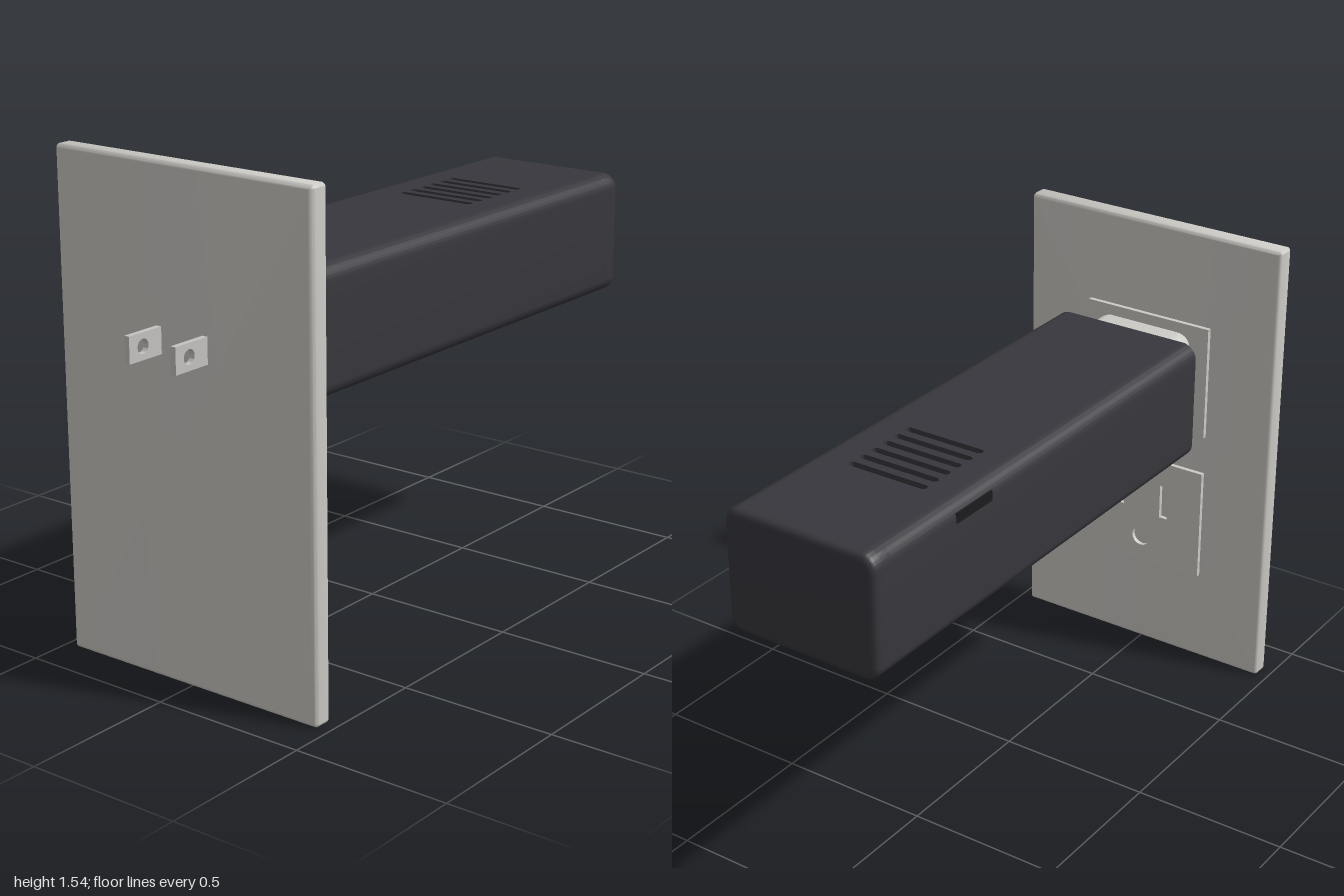
import * as THREE from 'three';
import { toCreasedNormals } from 'three/addons/utils/BufferGeometryUtils.js';

const mat = (name, color) => {
  const m = new THREE.MeshStandardMaterial({ color });
  m.name = name;
  return m;
};

// Rectangle with rounded corners, centred on (0, cy)
function roundedRect(w, h, r, cy) {
  const s = new THREE.Shape(), a = w / 2 - r, b = h / 2 - r, q = Math.PI / 2;
  s.absarc(a, cy + b, r, 0, q);
  s.absarc(-a, cy + b, r, q, 2 * q);
  s.absarc(-a, cy - b, r, 2 * q, 3 * q);
  s.absarc(a, cy - b, r, 3 * q, 4 * q);
  s.closePath();
  return s;
}

function rectHole(x0, x1, y0, y1) {
  return new THREE.Path([[x0, y0], [x0, y1], [x1, y1], [x1, y0]].map(p => new THREE.Vector2(...p)));
}

// Extrudes a (-z, y) outline along x from x0 to x1, with optional rounded ends
function extrudeX(shape, x0, x1, bevel = 0) {
  const g = new THREE.ExtrudeGeometry(shape, {
    depth: x1 - x0 - 2 * bevel, curveSegments: 8, bevelEnabled: bevel > 0,
    bevelThickness: bevel, bevelSize: bevel, bevelOffset: -bevel, bevelSegments: 4,
  });
  g.translate(0, 0, x0 + bevel).rotateY(Math.PI / 2);
  return toCreasedNormals(g, 0.6);
}

export function createModel() {
  const model = new THREE.Group();
  model.name = 'wallAdapter';
  const ivory = mat('ivory', 0xcccac5);
  const charcoal = mat('charcoal', 0x37373d);
  const metal = mat('metal', 0xc4c3c0);
  const black = mat('black', 0x1c1c1f);
  const add = (name, geometry, material, parent = model) => {
    const m = new THREE.Mesh(geometry, material);
    m.name = name;
    parent.add(m);
    return m;
  };
  const box = (name, material, x0, x1, y0, y1, z0, z1, parent) => {
    const m = add(name, new THREE.BoxGeometry(x1 - x0, y1 - y0, z1 - z0), material, parent);
    m.position.set((x0 + x1) / 2, (y0 + y1) / 2, (z0 + z1) / 2);
  };

  // Wall plate
  add('wallPlate', extrudeX(roundedRect(0.93, 1.54, 0.012, 0.77), -0.87, -0.805, 0.015), ivory);

  // Two raised sockets with slots and a ground hole
  for (const [name, y] of [['lowerSocket', 0.32], ['upperSocket', 0.84]]) {
    const s = new THREE.Shape([[-0.227, 0], [0.227, 0], [0.227, 0.387], [-0.227, 0.387]]
      .map(([u, v]) => new THREE.Vector2(u, y + v)));
    s.holes.push(rectHole(-0.1, -0.07, y + 0.192, y + 0.287));
    s.holes.push(rectHole(0.07, 0.1, y + 0.18, y + 0.3));
    s.holes.push(new THREE.Path().absarc(0, y + 0.086, 0.034, 0, Math.PI * 2, true));
    add(name, extrudeX(s, -0.807, -0.79), ivory);
  }

  // Centre screw
  const screw = new THREE.Group();
  screw.name = 'screw';
  model.add(screw);
  const head = add('screwHead', new THREE.CylinderGeometry(0.044, 0.044, 0.017, 32), ivory, screw);
  head.rotation.z = Math.PI / 2;
  head.position.set(-0.7985, 0.772, 0);
  box('screwSlot', black, -0.793, -0.789, 0.768, 0.776, -0.033, 0.033, screw);

  // Plug blades with their round holes
  for (const z of [-0.085, 0.085]) {
    const s = new THREE.Shape([[-1, 0.99], [-0.86, 0.99], [-0.86, 1.07], [-1, 1.07]]
      .map(p => new THREE.Vector2(...p)));
    s.holes.push(new THREE.Path().absarc(-0.945, 1.03, 0.022, 0, Math.PI * 2, true));
    const g = new THREE.ExtrudeGeometry(s, { depth: 0.018, bevelEnabled: false, curveSegments: 16 });
    add('blade', toCreasedNormals(g, 0.6), metal).position.z = z - 0.009;
  }

  // Light neck between socket and housing
  add('neck', extrudeX(roundedRect(0.348, 0.344, 0.05, 1.031), -0.79, -0.6, 0.03), ivory);

  // Hollow housing: rounded trough, open on top
  const housing = new THREE.Group();
  housing.name = 'housing';
  model.add(housing);
  const y0 = 0.835, y1 = 1.23, w = 0.262, r = 0.05, t = 0.03, q = Math.PI / 2;
  const trough = new THREE.Shape();
  trough.moveTo(w - r, y1 - t);
  trough.lineTo(w - t, y1 - r);
  trough.lineTo(w - t, y0 + t);
  trough.lineTo(t - w, y0 + t);
  trough.lineTo(t - w, y1 - r);
  trough.lineTo(r - w, y1 - t);
  trough.lineTo(r - w, y1);
  trough.absarc(r - w, y1 - r, r, q, 2 * q);
  trough.absarc(r - w, y0 + r, r, 2 * q, 3 * q);
  trough.absarc(w - r, y0 + r, r, 3 * q, 4 * q);
  trough.absarc(w - r, y1 - r, r, 0, q);
  trough.closePath();
  add('trough', extrudeX(trough, -0.655, 0.96), charcoal, housing);
  add('endCap', extrudeX(roundedRect(2 * w, y1 - y0, r, (y0 + y1) / 2), 0.9, 1, 0.022), charcoal, housing);
  box('rearWall', charcoal, -0.655, -0.625, y0 + t, y1 - t, t - w, w - t, housing);

  // Top panel with vent slots
  const top = new THREE.Shape([[-0.655, r - w], [0.96, r - w], [0.96, w - r], [-0.655, w - r]]
    .map(p => new THREE.Vector2(...p)));
  const h = 0.0125;
  for (let i = 0; i < 6; i++) {
    const x = 0.333 + i * 0.0535, slot = new THREE.Path();
    slot.absarc(x, 0.122, h, 0, Math.PI);
    slot.absarc(x, -0.127, h, Math.PI, 2 * Math.PI);
    slot.closePath();
    top.holes.push(slot);
  }
  const panel = new THREE.ExtrudeGeometry(top, { depth: t, bevelEnabled: false, curveSegments: 6 });
  panel.rotateX(Math.PI / 2).translate(0, y1, 0);
  add('ventPanel', toCreasedNormals(panel, 0.6), charcoal, housing);

  // Narrow opening high on the back side
  box('sideOpening', black, 0.46, 0.63, 1.168, 1.2, -w - 0.001, -w + 0.008, housing);

  // Circuit board and small parts behind the vents
  box('circuitBoard', charcoal, 0.2, 0.75, 1.08, 1.1, -0.2, 0.2, housing);
  for (const z of [-0.11, -0.085, 0.04, 0.115]) {
    box('contact', metal, 0.323, 0.343, 1.1, 1.13, z - 0.006, z + 0.006, housing);
  }
  for (const [x, z] of [[0.387, 0.03], [0.435, -0.06], [0.55, -0.04], [0.55, 0.12]]) {
    box('contact', metal, x - 0.005, x + 0.005, 1.1, 1.13, z - 0.01, z + 0.01, housing);
  }
  for (const x of [0.594, 0.609]) {
    box('connectorRail', metal, x - 0.003, x + 0.003, 1.1, 1.15, -0.13, 0.125, housing);
  }
  return model;
}
